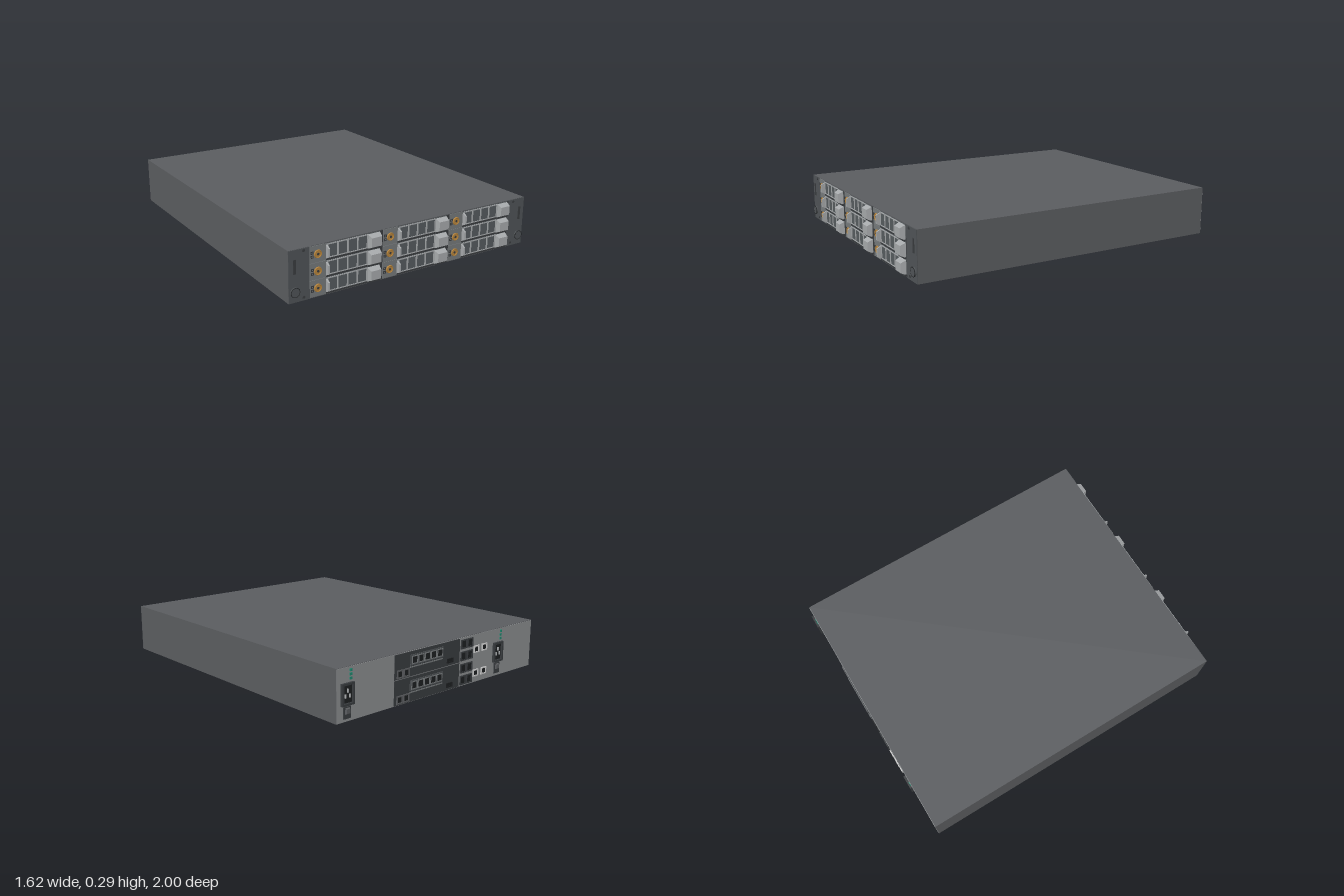
import * as THREE from 'three';

const mat = (color) => new THREE.MeshStandardMaterial({ color });
const M = {
  body: mat(0x5a5c5f), ear: mat(0x4f5356), dark: mat(0x393c3f), black: mat(0x1d1f21),
  panel: mat(0x75797b), pane: mat(0x555b5e), light: mat(0xa6a9ab), back: mat(0x8b8e90),
  brass: mat(0xb8853c), green: mat(0x1f8a70), white: mat(0xcccccc),
};

export function createModel() {
  const root = new THREE.Group();
  root.name = 'rackServer';

  const add = (parent, name, geo, m, x = 0, y = 0, z = 0) => {
    const mesh = new THREE.Mesh(geo, m);
    mesh.name = name;
    mesh.position.set(x, y, z);
    parent.add(mesh);
    return mesh;
  };
  // box given by its extents
  const box = (p, name, m, x0, x1, y0, y1, z0, z1) =>
    add(p, name, new THREE.BoxGeometry(x1 - x0, y1 - y0, z1 - z0), m,
      (x0 + x1) / 2, (y0 + y1) / 2, (z0 + z1) / 2);
  const group = (p, name, x = 0, y = 0, z = 0) => {
    const g = new THREE.Group();
    g.name = name;
    g.position.set(x, y, z);
    p.add(g);
    return g;
  };
  // rectangular rim with an opening, centred in x and y, from z = 0 to depth
  const rim = (w, h, t, depth) => {
    const rect = (P, a, b) => {
      const s = new P();
      s.moveTo(-a, -b); s.lineTo(a, -b); s.lineTo(a, b); s.lineTo(-a, b); s.closePath();
      return s;
    };
    const s = rect(THREE.Shape, w / 2, h / 2);
    s.holes.push(rect(THREE.Path, w / 2 - t, h / 2 - t));
    return new THREE.ExtrudeGeometry(s, { depth, bevelEnabled: false });
  };
  // block whose front face is narrowed
  const taper = (w, h, d, kx, ky) => {
    const g = new THREE.BoxGeometry(w, h, d).toNonIndexed();
    const p = g.attributes.position;
    for (let i = 0; i < p.count; i++) {
      if (p.getZ(i) > 0) p.setXY(i, p.getX(i) * kx, p.getY(i) * ky);
    }
    g.computeVertexNormals();
    return g;
  };
  const disc = (r, d, n = 32) => new THREE.CylinderGeometry(r, r, d, n).rotateX(Math.PI / 2);

  // chassis
  box(root, 'chassis', M.body, -0.81, 0.81, 0, 0.293, -0.982, 0.966);

  // front ears with round button, screws and a status strip
  for (const s of [-1, 1]) {
    const ear = group(root, s < 0 ? 'rightEar' : 'leftEar', s * 0.7475, 0, 0);
    box(ear, 'earPlate', M.ear, -0.0625, 0.0625, 0.001, 0.292, 0.965, 0.97);
    add(ear, 'button', disc(0.026, 0.012), M.ear, s * 0.0275, 0.06, 0.974);
    add(ear, 'buttonRing', new THREE.TorusGeometry(0.026, 0.002, 6, 32), M.black, s * 0.0275, 0.06, 0.979);
    for (const y of [0.02, 0.28]) add(ear, 'screw', disc(0.008, 0.004, 16), M.dark, -s * 0.026, y, 0.971);
    box(ear, 'statusStrip', M.dark, s * 0.0275 - 0.008, s * 0.0275 + 0.008, 0.16, 0.24, 0.969, 0.973);
  }

  // one drive carrier, origin at the centre of its column edge
  const buildDrive = (p, x, y) => {
    const d = group(p, 'driveCarrier', x, y, 0);
    box(d, 'sidePanel', M.panel, 0, 0.096, -0.047, 0.047, 0.965, 0.97);
    add(d, 'lockRing', disc(0.023, 0.006), M.brass, 0.047, 0, 0.971);
    add(d, 'lockRim', new THREE.TorusGeometry(0.02, 0.003, 6, 32), M.brass, 0.047, 0, 0.974);
    add(d, 'lockCore', disc(0.007, 0.004, 16), M.dark, 0.047, 0, 0.9735);
    for (const i of [-1, 1]) add(d, 'indicator', rim(0.016, 0.015, 0.004, 0.004), M.dark, 0.013, i * 0.011, 0.969);
    // ventilated face: pane, upright ribs, top and bottom rails
    box(d, 'pane', M.pane, 0.096, 0.438, -0.045, 0.045, 0.965, 0.969);
    for (let i = 0; i < 5; i++) {
      const rx = 0.107 + i * 0.0625;
      box(d, 'rib', M.light, rx - 0.004, rx + 0.004, -0.034, 0.044, 0.966, 0.973);
    }
    box(d, 'topRail', M.light, 0.1, 0.36, 0.038, 0.044, 0.966, 0.972);
    box(d, 'bottomRail', M.light, 0.1, 0.36, -0.036, -0.031, 0.966, 0.972);
    box(d, 'lowerStrip', M.dark, 0.097, 0.438, -0.047, -0.037, 0.965, 0.971);
    // hinge blade and release latch
    add(d, 'hingeBlade', taper(0.01, 0.08, 0.03, 1, 0.6), M.light, 0.101, 0, 0.981);
    add(d, 'latch', taper(0.08, 0.086, 0.034, 0.82, 0.62), M.light, 0.398, 0.001, 0.983);
    box(d, 'latchFoot', M.dark, 0.36, 0.438, -0.046, -0.036, 0.966, 0.979);
    box(d, 'divider', M.dark, 0.44, 0.458, -0.047, 0.047, 0.965, 0.969);
  };
  const drives = group(root, 'driveBays');
  for (let c = 0; c < 3; c++) {
    for (let r = 0; r < 3; r++) buildDrive(drives, -0.683 + c * 0.46, 0.052 + r * 0.0955);
  }

  // rear panel
  const rear = group(root, 'rear');
  box(rear, 'rearPanel', M.back, -0.808, 0.808, 0.002, 0.291, -0.985, -0.98);

  // two power supplies
  for (const x of [0.74, -0.478]) {
    const psu = group(rear, 'powerSupply', x, 0, 0);
    add(psu, 'inletFrame', rim(0.086, 0.12, 0.012, 0.016), M.dark, 0, 0.15, -0.999);
    box(psu, 'inletWell', M.black, -0.035, 0.035, 0.1, 0.2, -0.988, -0.984);
    for (const [px, py] of [[-0.015, 0.14], [0.015, 0.14], [0, 0.168]]) {
      box(psu, 'prong', M.light, px - 0.003, px + 0.003, py - 0.01, py + 0.01, -0.996, -0.987);
    }
    box(psu, 'switchPlate', M.dark, -0.023, 0.025, 0.018, 0.083, -0.99, -0.984);
    add(psu, 'rocker', taper(0.03, 0.036, 0.01, 0.8, 0.7).rotateY(Math.PI), M.body, 0.001, 0.06, -0.994);
    for (let i = 0; i < 3; i++) {
      box(psu, 'statusLight', M.green, -0.033, -0.018, 0.222 + i * 0.022, 0.236 + i * 0.022, -0.989, -0.984);
    }
  }

  // two stacked controllers with slots and ports
  const port = (p, name, m, x, y, w, h) => {
    const g = group(p, name, x, y, 0);
    add(g, 'portRim', rim(w, h, 0.007, 0.007), m, 0, 0, -0.993);
    box(g, 'portWell', M.black, -w / 2 + 0.006, w / 2 - 0.006, -h / 2 + 0.006, h / 2 - 0.006, -0.989, -0.985);
  };
  for (const y of [0.003, 0.147]) {
    const c = group(rear, 'controller', 0, y, 0);
    box(c, 'controllerPlate', M.dark, -0.13, 0.4, 0.001, 0.141, -0.987, -0.984);
    box(c, 'slotBar', M.ear, 0.015, 0.28, 0.062, 0.122, -0.991, -0.984);
    for (let i = 0; i < 5; i++) {
      const x = 0.045 + i * 0.051;
      add(c, 'slotRim', rim(0.046, 0.046, 0.005, 0.004), M.panel, x, 0.092, -0.994);
      box(c, 'slotWell', M.black, x - 0.019, x + 0.019, 0.073, 0.111, -0.992, -0.99);
    }
    box(c, 'slotLip', M.panel, 0.015, 0.28, 0.05, 0.056, -0.99, -0.984);
    for (const x of [0.36, 0.309]) port(c, 'squarePort', M.body, x, 0.03, 0.045, 0.046);
    port(c, 'managementPort', M.black, -0.045, 0.03, 0.05, 0.026);
    // paired ports beside the controller
    for (const py of [0.034, 0.105]) {
      for (const x of [-0.163, -0.218]) port(c, 'networkPort', M.dark, x, py, 0.05, 0.054);
    }
    for (const x of [-0.277, -0.35]) port(c, 'smallPort', M.white, x, 0.056, 0.046, 0.042);
  }
  return root;
}
